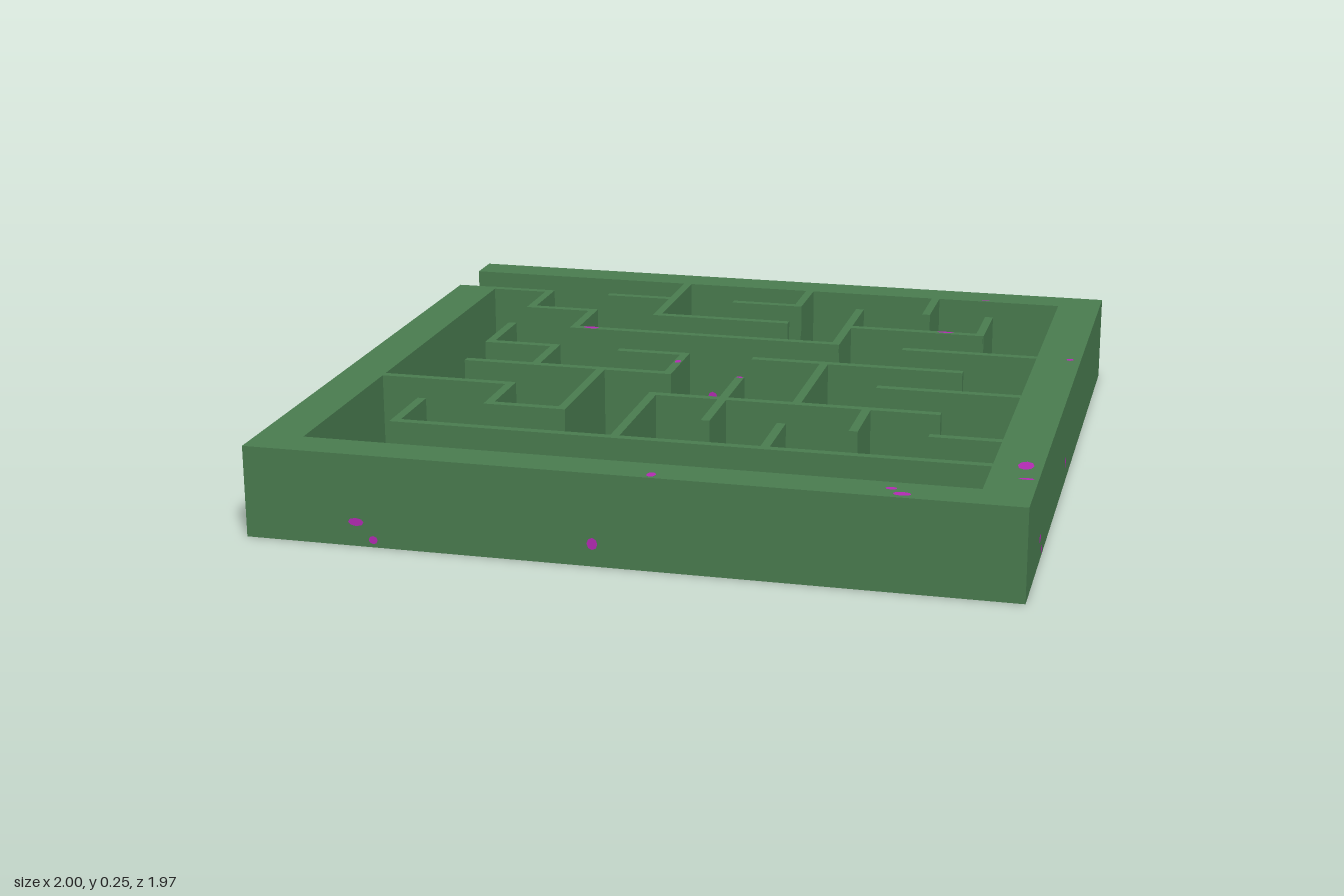
import * as THREE from 'three';

const HEIGHT = 0.245;
const THICK = 0.024;
const UP = new THREE.Vector3(0, 1, 0);

// Blossoms repeated on upright faces: [sideways, height, width, tallness]
const SIDE_SPOTS = [
  [-0.70, 0.065, 0.042, 0.022], [-0.655, 0.02, 0.024, 0.022], [-0.077, 0.06, 0.028, 0.032],
];

// Blossoms on top of the hedges: [x, z, width, depth]
const TOP_SPOTS = [
  [0.957, 0.68, 0.042, 0.064], [0.97, 0.78, 0.04, 0.014], [0.07, 0.962, 0.024, 0.034],
  [0.66, 0.925, 0.03, 0.02], [0.692, 0.96, 0.046, 0.028], [0.97, -0.29, 0.022, 0.02],
  [-0.452, -0.305, 0.048, 0.021], [0.582, -0.497, 0.048, 0.014], [-0.112, -0.015, 0.018, 0.03],
  [0.094, 0.098, 0.02, 0.012], [0.65, -0.888, 0.03, 0.01],
];

export function createModel() {
  const maze = new THREE.Group();
  maze.name = 'hedgeMaze';

  const hedgeGreen = new THREE.MeshStandardMaterial({ color: 0x4a7d50 });
  hedgeGreen.name = 'hedge green';
  const blossomPink = new THREE.MeshStandardMaterial({ color: 0xb52bb5 });
  blossomPink.name = 'blossom pink';
  const petal = new THREE.CircleGeometry(0.5, 8);

  // Flat blossom, facing +z until turned
  function blossom(w, h) {
    const mesh = new THREE.Mesh(petal, blossomPink);
    mesh.scale.set(w, h, 1);
    mesh.name = 'blossom';
    maze.add(mesh);
    return mesh;
  }

  // Upright block covering x0..x1 by z0..z1, with blossoms on its four sides
  function block(name, x0, x1, z0, z1) {
    const mesh = new THREE.Mesh(new THREE.BoxGeometry(x1 - x0, HEIGHT, z1 - z0), hedgeGreen);
    mesh.position.set((x0 + x1) / 2, HEIGHT / 2, (z0 + z1) / 2);
    mesh.name = name;
    maze.add(mesh);

    // Front, left, back and right faces: [sideways start, end, distance out]
    const faces = [[x0, x1, z1], [-z1, -z0, x1], [-x1, -x0, -z0], [z0, z1, -x0]];
    faces.forEach(([u0, u1, out], i) => {
      const turn = i * Math.PI / 2;
      for (const [u, y, w, h] of SIDE_SPOTS) {
        if (u - w / 2 < u0 || u + w / 2 > u1) continue;
        const spot = blossom(w, h);
        spot.position.set(u, y, out + 0.001).applyAxisAngle(UP, turn);
        spot.rotation.y = turn;
      }
    });
  }

  // Thick outer hedges, with the entrance gap at the back right corner
  block('backHedge', -1, 1, -0.985, -0.88);
  block('frontHedge', -1, 1, 0.877, 0.985);
  block('leftHedge', 0.875, 1, -0.88, 0.877);
  block('rightHedge', -1, -0.878, -0.70, 0.877);

  // Inner walls running along x: [x start, x end, z]
  const acrossWalls = [
    [-0.9, -0.695, -0.69], [-0.51, -0.29, -0.695], [-0.11, 0.107, -0.70],
    [-0.71, -0.495, -0.50], [-0.31, 0.107, -0.50], [0.287, 0.695, -0.495],
    [-0.515, 0.30, -0.305], [0.487, 0.9, -0.294],
    [-0.71, -0.49, -0.096], [-0.31, -0.10, -0.096], [0.086, 0.69, -0.099],
    [-0.706, -0.10, 0.099], [0.48, 0.9, 0.096],
    [-0.9, -0.497, 0.297], [-0.114, 0.688, 0.30],
    [-0.52, -0.292, 0.484], [0.685, 0.9, 0.492], [-0.71, 0.9, 0.69],
  ];
  acrossWalls.forEach(([x0, x1, z], i) =>
    block(`acrossWall${i + 1}`, x0, x1, z - THICK / 2, z + THICK / 2));

  // Inner walls running along z: [x, z start, z end]
  const alongWalls = [
    [-0.70, -0.70, -0.49], [-0.503, -0.51, -0.294], [-0.30, -0.9, -0.49],
    [0.096, -0.9, -0.69], [0.495, -0.9, -0.685], [0.289, -0.70, -0.294],
    [0.685, -0.70, -0.487], [-0.698, -0.305, -0.086], [-0.50, -0.107, 0.10],
    [-0.112, -0.107, 0.108], [0.296, -0.107, 0.30], [0.094, 0.09, 0.503],
    [-0.304, 0.10, 0.494], [-0.508, 0.287, 0.494], [-0.102, 0.30, 0.69],
    [0.489, 0.30, 0.503], [0.294, 0.48, 0.69], [-0.698, 0.487, 0.70],
  ];
  alongWalls.forEach(([x, z0, z1], i) =>
    block(`alongWall${i + 1}`, x - THICK / 2, x + THICK / 2, z0, z1));

  for (const [x, z, w, d] of TOP_SPOTS) {
    const spot = blossom(w, d);
    spot.position.set(x, HEIGHT + 0.001, z);
    spot.rotation.x = -Math.PI / 2;
  }

  return maze;
}
